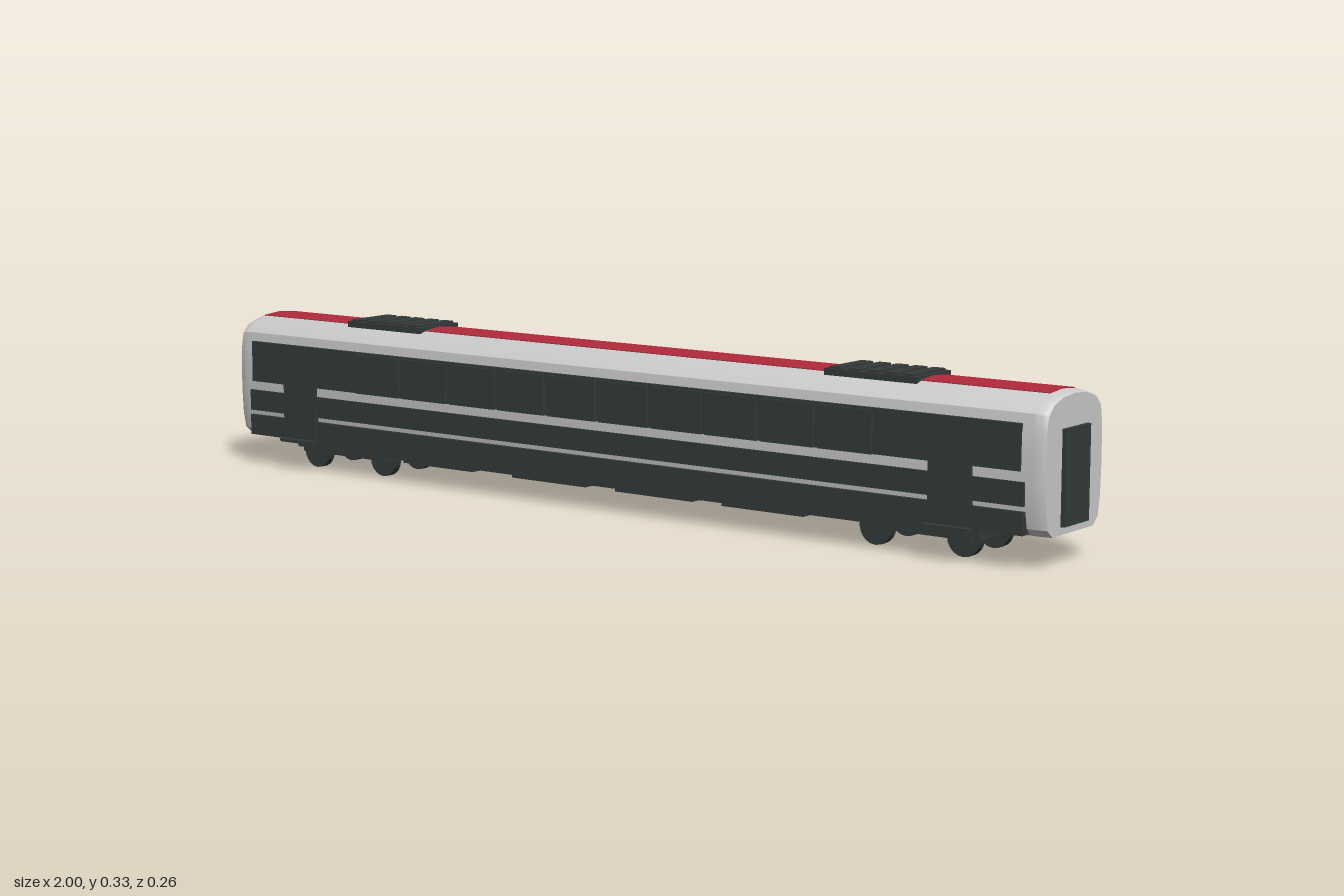
import * as THREE from 'three';
import { toCreasedNormals } from 'three/addons/utils/BufferGeometryUtils.js';

const grey = new THREE.MeshStandardMaterial({ color: 0xcccccc });
const dark = new THREE.MeshStandardMaterial({ color: 0x343a3b });
const red = new THREE.MeshStandardMaterial({ color: 0xb02a3c });

// Half profile of the coach body as [z, y], from the floor up to the roof edge
const HALF = [[0.078, 0.06], [0.097, 0.075], [0.104, 0.11], [0.107, 0.16], [0.107, 0.21],
  [0.106, 0.25], [0.1, 0.284], [0.081, 0.303], [0.045, 0.314]];
const RING = [...HALF, [0, 0.318], ...HALF.map(([z, y]) => [-z, y]).reverse()];

// Loft of the ring along x, with slightly pinched ends
function bodyGeometry() {
  const stations = [[-0.992, 0.945], [-0.985, 0.975], [-0.968, 1], [0.968, 1], [0.985, 0.975], [0.992, 0.945]];
  const n = RING.length, pos = [], idx = [];
  for (const [x, s] of stations)
    for (const [z, y] of RING) pos.push(x, 0.06 + (y - 0.06) * (1 - (1 - s) * 0.35), z * s);
  for (let i = 0; i < stations.length - 1; i++)
    for (let j = 0; j < n; j++) {
      const k = (j + 1) % n, a = i * n + j, b = a + n, c = (i + 1) * n + k, d = i * n + k;
      idx.push(a, b, c, a, c, d);
    }
  const last = (stations.length - 1) * n;
  for (let j = 1; j < n - 1; j++) {
    idx.push(0, j, j + 1);
    idx.push(last, last + j + 1, last + j);
  }
  const g = new THREE.BufferGeometry();
  g.setAttribute('position', new THREE.Float32BufferAttribute(pos, 3));
  g.setIndex(idx);
  return toCreasedNormals(g, 0.6);
}

export function createModel() {
  const root = new THREE.Group();
  root.name = 'railCoach';

  const add = (name, geometry, material, x = 0, y = 0, z = 0) => {
    const m = new THREE.Mesh(geometry, material);
    m.name = name;
    m.position.set(x, y, z);
    root.add(m);
    return m;
  };
  // Box given by its limits on each axis
  const box = (name, material, x0, x1, y0, y1, z0, z1) =>
    add(name, new THREE.BoxGeometry(x1 - x0, y1 - y0, z1 - z0), material,
      (x0 + x1) / 2, (y0 + y1) / 2, (z0 + z1) / 2);
  // The same box on both flanks
  const flank = (name, material, x0, x1, y0, y1, z0, z1) => {
    box(name, material, x0, x1, y0, y1, z0, z1);
    box(name, material, x0, x1, y0, y1, -z1, -z0);
  };

  add('body', bodyGeometry(), grey);

  // Red roof strip, following the shallow ridge
  const strip = new THREE.Shape();
  [[-0.045, 0.31], [0.045, 0.31], [0.045, 0.3155], [0, 0.3195], [-0.045, 0.3155]]
    .forEach(([z, y], i) => (i ? strip.lineTo(z, y) : strip.moveTo(z, y)));
  const stripGeometry = new THREE.ExtrudeGeometry(strip, { depth: 1.94, bevelEnabled: false });
  stripGeometry.rotateY(Math.PI / 2);
  add('roofStrip', stripGeometry, red, -0.975);

  // Side bands: windows, middle panel, lower skirt
  flank('windowBand', dark, -0.95, 0.945, 0.18, 0.266, 0.1, 0.1115);
  flank('middlePanel', dark, -0.957, 0.953, 0.117, 0.161, 0.098, 0.1115);
  flank('lowerSkirt', dark, -0.957, 0.953, 0.064, 0.107, 0.09, 0.1115);

  // Row of ten raised windows
  for (let i = 0; i < 10; i++) {
    const x = -0.65 + i * 0.129;
    flank('windowPane', dark, x + 0.005, x + 0.124, 0.18, 0.262, 0.108, 0.117);
  }

  // Side doors with a step under each
  for (const x of [-0.81, 0.8]) {
    flank('sideDoor', dark, x - 0.045, x + 0.045, 0.064, 0.222, 0.095, 0.1145);
    flank('doorStep', dark, x - 0.045, x + 0.045, 0.06, 0.067, 0.095, 0.128);
  }

  // Gangway doors at both ends
  box('endDoor', dark, 0.985, 1, 0.075, 0.253, -0.045, 0.045);
  box('endDoor', dark, -1, -0.985, 0.075, 0.253, -0.045, 0.045);

  // Roof air units with raised slats
  for (const x of [-0.615, 0.594]) {
    box('roofUnit', dark, x - 0.102, x + 0.102, 0.305, 0.322, -0.06, 0.06);
    for (let i = 0; i < 5; i++) {
      const s = x - 0.08 + i * 0.04;
      box('roofSlat', dark, s - 0.013, s + 0.013, 0.318, 0.326, -0.055, 0.055);
    }
  }

  // Underframe and equipment boxes
  box('underframe', dark, -0.85, 0.84, 0.043, 0.064, -0.077, 0.077);
  for (const x of [-0.46, -0.165, 0.1, 0.36])
    box('equipmentBox', dark, x - 0.095, x + 0.095, 0.036, 0.05, -0.07, 0.07);

  // Bogies: frame, axles and wheels
  const wheel = new THREE.CylinderGeometry(0.035, 0.035, 0.017, 20).rotateX(Math.PI / 2);
  const axle = new THREE.CylinderGeometry(0.008, 0.008, 0.12, 10).rotateX(Math.PI / 2);
  for (const x of [-0.714, 0.707]) {
    box('bogieFrame', dark, x - 0.13, x + 0.13, 0.034, 0.05, -0.044, 0.044);
    flank('bogieBeam', dark, x - 0.12, x + 0.12, 0.035, 0.048, 0.062, 0.078);
    for (const dx of [-0.095, 0.095]) {
      add('axle', axle, dark, x + dx, 0.036, 0);
      for (const z of [-0.0535, 0.0535]) add('wheel', wheel, dark, x + dx, 0.035, z);
    }
  }
  return root;
}
